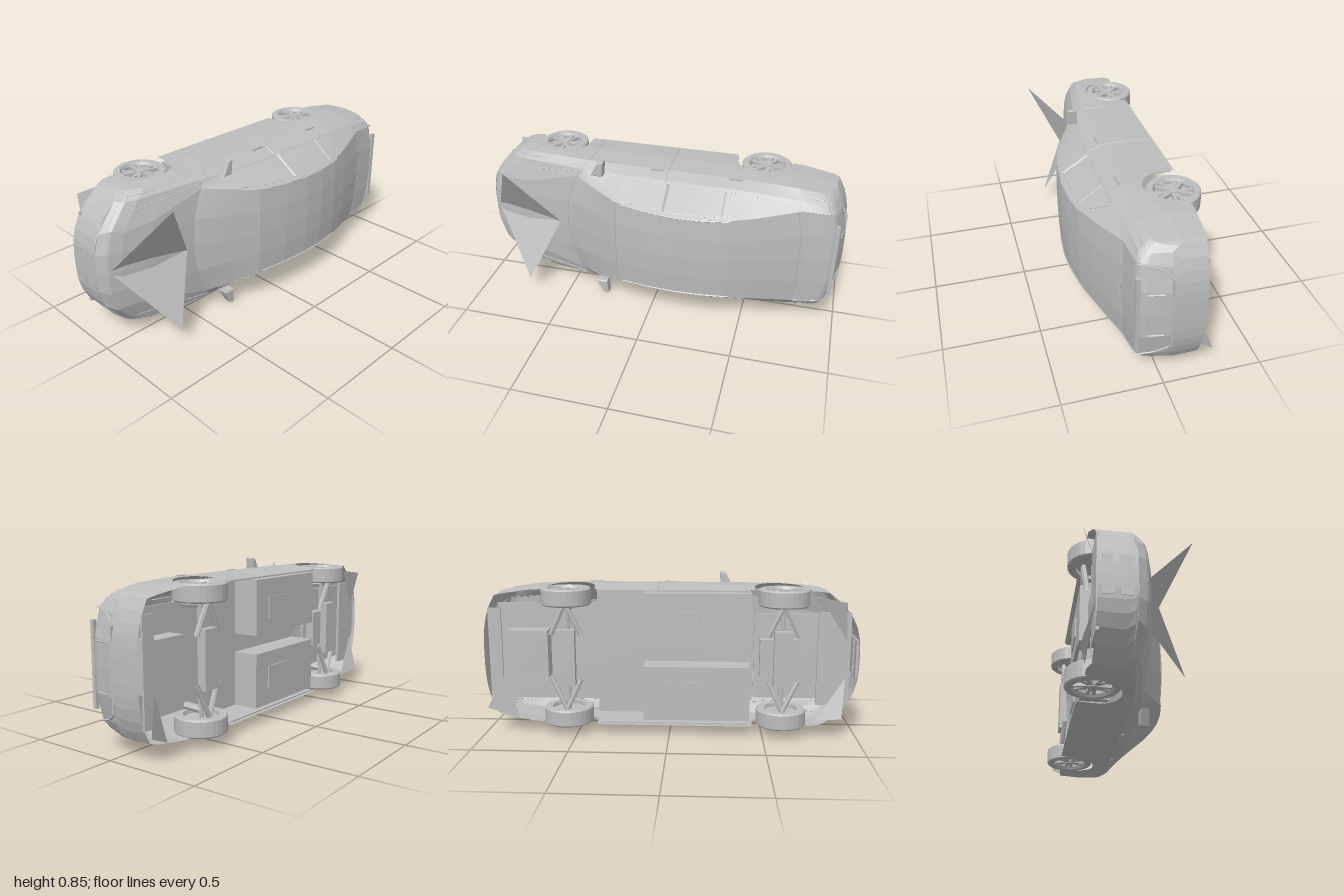
import * as THREE from 'three';

const paint = new THREE.MeshStandardMaterial({ color: 0xbdbdbd, side: THREE.DoubleSide, flatShading: true });
paint.name = 'grey';

const WHEEL_X = [-0.6, 0.55], WHEEL_UP = -0.168, WHEEL_R = 0.133;
const ARCH_X = [-0.587, 0.535], ARCH_R = 0.141;

// Body stations: x, sill height, half width, shoulder height, belt width/height, rail width/height, centre height
const KEYS = [
  [-1.0, -0.20, 0.36, -0.07, 0.33, -0.03, 0.2, -0.02, -0.02],
  [-0.97, -0.22, 0.37, -0.02, 0.33, 0.01, 0.22, 0.025, 0.03],
  [-0.9, -0.22, 0.375, 0.01, 0.33, 0.035, 0.2, 0.05, 0.055],
  [-0.75, -0.22, 0.38, 0.03, 0.335, 0.06, 0.22, 0.08, 0.085],
  [-0.5, -0.23, 0.38, 0.05, 0.34, 0.095, 0.3, 0.105, 0.115],
  [-0.18, -0.23, 0.38, 0.055, 0.345, 0.11, 0.25, 0.24, 0.252],
  [0.0, -0.23, 0.38, 0.055, 0.345, 0.115, 0.242, 0.273, 0.286],
  [0.15, -0.23, 0.38, 0.055, 0.345, 0.115, 0.238, 0.286, 0.298],
  [0.28, -0.23, 0.38, 0.055, 0.345, 0.12, 0.238, 0.281, 0.293],
  [0.42, -0.23, 0.38, 0.06, 0.345, 0.12, 0.24, 0.26, 0.272],
  [0.55, -0.22, 0.38, 0.06, 0.34, 0.12, 0.25, 0.222, 0.235],
  [0.8, -0.21, 0.37, 0.06, 0.32, 0.11, 0.28, 0.14, 0.15],
  [0.94, -0.2, 0.35, 0.05, 0.305, 0.11, 0.27, 0.125, 0.135],
  [0.97, -0.2, 0.345, 0.03, 0.305, 0.08, 0.27, 0.11, 0.115],
  [1.0, -0.19, 0.335, -0.06, 0.31, -0.03, 0.25, -0.02, -0.02],
];

function station(x) {
  let i = 0;
  while (i < KEYS.length - 2 && x > KEYS[i + 1][0]) i++;
  const a = KEYS[i], b = KEYS[i + 1], t = (x - a[0]) / (b[0] - a[0]);
  return a.map((v, k) => v + (b[k] - v) * t);
}

// Rounds the nose, windscreen base and tail in plan
function planX(x, lat) {
  const { mapLinear, clamp } = THREE.MathUtils;
  const front = x < -0.5 ? mapLinear(x, -1, -0.5, 0.2, 0.12) : mapLinear(clamp(x, -0.5, -0.15), -0.5, -0.15, 0.12, 0);
  const rear = mapLinear(clamp(x, 0.4, 1), 0.4, 1, 0, 0.1);
  return x + (front - rear) * Math.pow(Math.abs(lat) / 0.37, 3);
}

// Half section from sill to roof centre; the sill rises over the wheel arches
function section(x, side) {
  const [, zb, w, zs, bw, bz, rw, rz, top] = station(x);
  let sill = zb;
  const px = planX(x, w - 0.01);
  for (const cx of ARCH_X) {
    const d = ARCH_R ** 2 - (px - cx) ** 2;
    if (d > 0) sill = Math.max(sill, WHEEL_UP + Math.sqrt(d));
  }
  const tuck = 0.012 * THREE.MathUtils.clamp((-0.05 - sill) / 0.18, 0, 1);
  const mid = Math.max(-0.08, sill + (zs - sill) * 0.35);
  return [[w - tuck, sill], [w, mid], [w - 0.006, zs], [bw, bz], [rw, rz], [rw * 0.5, top - (top - rz) * 0.25], [0, top]]
    .map(([l, u]) => new THREE.Vector3(planX(x, l), u, l * side));
}

// Point on the skin, row 0 at the sill to 6 at the centre line
function skin(x, row, side) {
  const s = section(x, side), i = Math.min(5, Math.floor(row));
  return s[i].clone().lerp(s[i + 1], row - i);
}

function gridGeometry(rows) {
  const pos = [], idx = [], n = rows[0].length;
  rows.forEach(r => r.forEach(p => pos.push(p.x, p.y, p.z)));
  for (let i = 0; i < rows.length - 1; i++) for (let j = 0; j < n - 1; j++) {
    const a = i * n + j, b = a + n;
    idx.push(a, a + 1, b, a + 1, b + 1, b);
  }
  const g = new THREE.BufferGeometry();
  g.setAttribute('position', new THREE.Float32BufferAttribute(pos, 3));
  g.setIndex(idx);
  g.computeVertexNormals();
  return g;
}

export function createModel() {
  const car = new THREE.Group();
  car.name = 'car';
  const add = (name, geo, parent = car) => {
    const m = new THREE.Mesh(geo, paint);
    m.name = name;
    parent.add(m);
    return m;
  };
  const box = (name, x0, x1, u0, u1, l0, l1) =>
    add(name, new THREE.BoxGeometry(x1 - x0, u1 - u0, Math.abs(l1 - l0))).position.set((x0 + x1) / 2, (u0 + u1) / 2, (l0 + l1) / 2);
  const trim = (name, pts, r = 0.0025) => {
    const path = new THREE.CurvePath();
    for (let i = 0; i < pts.length - 1; i++) path.add(new THREE.LineCurve3(pts[i], pts[i + 1]));
    return add(name, new THREE.TubeGeometry(path, pts.length * 4, r, 4));
  };
  const rod = (name, a, b, r) => add(name, new THREE.TubeGeometry(new THREE.LineCurve3(new THREE.Vector3(...a), new THREE.Vector3(...b)), 1, r, 6));
  const triangle = (name, ...p) => add(name, new THREE.BufferGeometry().setFromPoints(p.map(v => new THREE.Vector3(...v)))).geometry.computeVertexNormals();
  const span = (a, b, n, f) => Array.from({ length: n + 1 }, (_, i) => f(a + (b - a) * i / n));

  // Body shell
  const rows = span(-1, 1, 160, x => [...section(x, 1), ...section(x, -1).reverse().slice(1)]);
  add('bodyShell', gridGeometry(rows));

  // Bumper faces closing both ends
  for (const x of [-1, 1]) {
    const cap = section(x, 1).slice(0, 5).map(p => span(-p.z, p.z, 12, l => new THREE.Vector3(planX(x, l), p.y, l)));
    add(x < 0 ? 'frontBumper' : 'rearBumper', gridGeometry(cap));
  }

  // Mirror housing outline seen from above: x, distance from the centre line
  const mirrorShape = new THREE.Shape([[-0.34, 0.34], [-0.275, 0.34], [-0.268, 0.42], [-0.275, 0.425], [-0.3, 0.418]].map(p => new THREE.Vector2(...p)));

  // Trims, seams and handles on each side
  for (const s of [1, -1]) {
    trim('windowTopTrim', span(-0.42, 0.56, 24, x => skin(x, 3.9 - 0.75 * Math.max(0, (x - 0.4) / 0.16) ** 2, s)));
    trim('windowSill', span(-0.42, 0.56, 24, x => skin(x, 3.1, s)));
    trim('roofRail', span(-0.15, 0.44, 14, x => skin(x, 4.05, s)), 0.005);
    trim('frontDoorSeam', span(0.1, 3.1, 10, r => skin(-0.5, r, s)));
    trim('rearDoorSeam', span(0.1, 3.1, 10, r => skin(0.06, r, s)));
    trim('centrePillar', span(3.1, 3.9, 4, r => skin(0.08, r, s)), 0.007);
    trim('rearPillarSeam', span(3.1, 3.9, 4, r => skin(0.38, r, s)));
    trim('hoodSeam', span(-0.93, -0.5, 12, x => skin(x, 3.3, s)));
    trim('trunkSeam', span(0.8, 0.96, 6, x => skin(x, 4, s)));
    for (const x of [0.0, 0.42]) add('doorHandle', new THREE.BoxGeometry(0.07, 0.012, 0.012)).position.copy(skin(x, 2.1, s));
    // Door mirror
    const mirror = add('doorMirror', new THREE.ExtrudeGeometry(mirrorShape, { depth: 0.04, bevelThickness: 0.006, bevelSize: 0.006, bevelOffset: -0.006, bevelSegments: 1 }));
    mirror.rotation.x = s * Math.PI / 2;
    mirror.position.y = 0.13 + s * 0.02;
    // Lamps
    trim('headlamp', span(-0.97, -0.82, 5, x => skin(x, 2.5, s)), 0.004);
    trim('tailLamp', span(0.84, 0.975, 5, x => skin(x, 2.6, s)), 0.004);
  }

  // Glass edges across the car
  const across = (name, x, row) => trim(name, [...span(row, 6, 6, r => skin(x, r, 1)), ...span(6, row, 6, r => skin(x, r, -1)).slice(1)]);
  across('windscreenBase', -0.5, 3.4);
  across('windscreenTop', -0.18, 4);
  across('rearGlassBase', 0.78, 4);

  // Grille and trunk edge
  box('grille', -0.999, -0.985, -0.1, -0.04, -0.1, 0.1);
  box('lowerGrille', -0.999, -0.985, -0.18, -0.13, -0.1, 0.1);
  box('trunkLip', 0.945, 0.965, 0.118, 0.138, -0.21, 0.21);
  box('bumperStep', 0.97, 0.997, -0.032, -0.022, -0.2, 0.2);
  for (const s of [1, -1]) {
    trim('trunkEdge', [[0.968, 0.125, 0.27], [0.985, 0.04, 0.25], [0.998, -0.02, 0.21]].map(([x, u, l]) => new THREE.Vector3(planX(x, l), u, s * l)), 0.004);
    trim('plateRecessEdge', [[0.975, 0.085], [0.99, 0.01]].map(([x, u]) => new THREE.Vector3(x, u, s * 0.12)), 0.004);
  }

  // Raised loose hood panels
  triangle('hoodPanel', [-0.95, 0.035, -0.02], [-0.77, 0.295, -0.365], [-0.55, 0.11, 0]);
  triangle('hoodPanel', [-0.95, 0.035, 0], [-0.55, 0.11, 0], [-0.71, 0.24, 0.335]);
  // Bent bumper corners
  triangle('rearCornerFlap', [0.98, -0.245, 0.28], [0.82, -0.19, 0.35], [0.9, -0.19, 0.1]);
  for (const s of [1, -1]) triangle('frontCornerFlap', [-0.91, -0.26, s * 0.31], [-0.78, -0.225, s * 0.33], [-0.93, -0.2, s * 0.1]);

  // Underbody: high floor with deep footwells either side of the tunnel
  box('floorPan', -0.45, 0.95, -0.07, -0.06, -0.27, 0.27);
  box('spareWell', 0.66, 0.88, -0.16, -0.07, -0.13, 0.13);
  box('rearValance', 0.9, 0.97, -0.195, -0.185, -0.26, 0.26);
  box('engineTray', -0.94, -0.45, -0.14, -0.125, -0.23, 0.23);
  box('noseTray', -0.95, -0.78, -0.2, -0.185, -0.25, 0.25);
  box('gearbox', -0.68, -0.48, -0.19, -0.14, -0.1, 0.1);
  for (const s of [1, -1]) {
    box('footwell', -0.43, 0.14, -0.21, -0.07, s * 0.05, s * 0.345);
    box('floorPlate', -0.16, 0.03, -0.217, -0.21, s * 0.13, s * 0.25);
    box('rearFloorSide', 0.14, 0.4, -0.07, -0.06, s * 0.26, s * 0.345);
    box('innerSill', -0.42, 0.38, -0.22, -0.06, s * 0.355, s * 0.362);
  }

  // Axles, arms and wheels
  const tyreProfile = [[0.09, -0.045], [0.126, -0.045], [WHEEL_R, -0.038], [WHEEL_R, 0.038], [0.126, 0.045], [0.098, 0.045], [0.09, 0.03], [0.088, -0.03]]
    .map(p => new THREE.Vector2(...p));
  for (const x of WHEEL_X) {
    rod('axle', [x, WHEEL_UP, -0.3], [x, WHEEL_UP, 0.3], 0.014);
    box('subframe', x - 0.05, x + 0.05, -0.24, -0.2, -0.15, 0.15);
    for (const s of [1, -1]) {
      for (const d of [-0.08, 0.08]) rod('suspensionArm', [x + d, -0.21, s * 0.12], [x, -0.22, s * 0.29], 0.014);
      rod('strut', [x, WHEEL_UP, s * 0.26], [x, 0.0, s * 0.25], 0.02);
      const wheel = new THREE.Group();
      wheel.name = 'wheel';
      wheel.position.set(x, WHEEL_UP, s * 0.323);
      wheel.rotation.x = s * Math.PI / 2;
      add('tyre', new THREE.LatheGeometry(tyreProfile, 28), wheel);
      add('brakeDisc', new THREE.CylinderGeometry(0.09, 0.09, 0.04, 24), wheel).position.y = -0.005;
      add('hub', new THREE.CylinderGeometry(0.024, 0.028, 0.03, 10), wheel).position.y = 0.025;
      for (let i = 0; i < 5; i++) for (const o of [-0.2, 0.2]) {
        const arm = new THREE.Group();
        arm.name = 'spokeMount';
        arm.rotation.y = i * Math.PI * 0.4 + o;
        wheel.add(arm);
        add('spoke', new THREE.BoxGeometry(0.08, 0.018, 0.018), arm).position.set(0.055, 0.026, 0);
      }
      car.add(wheel);
    }
  }

  // Lay the car on its side, roof towards +z
  car.rotation.x = Math.PI / 2;
  car.position.y = 0.425;
  const model = new THREE.Group();
  model.name = 'model';
  model.add(car);
  return model;
}
